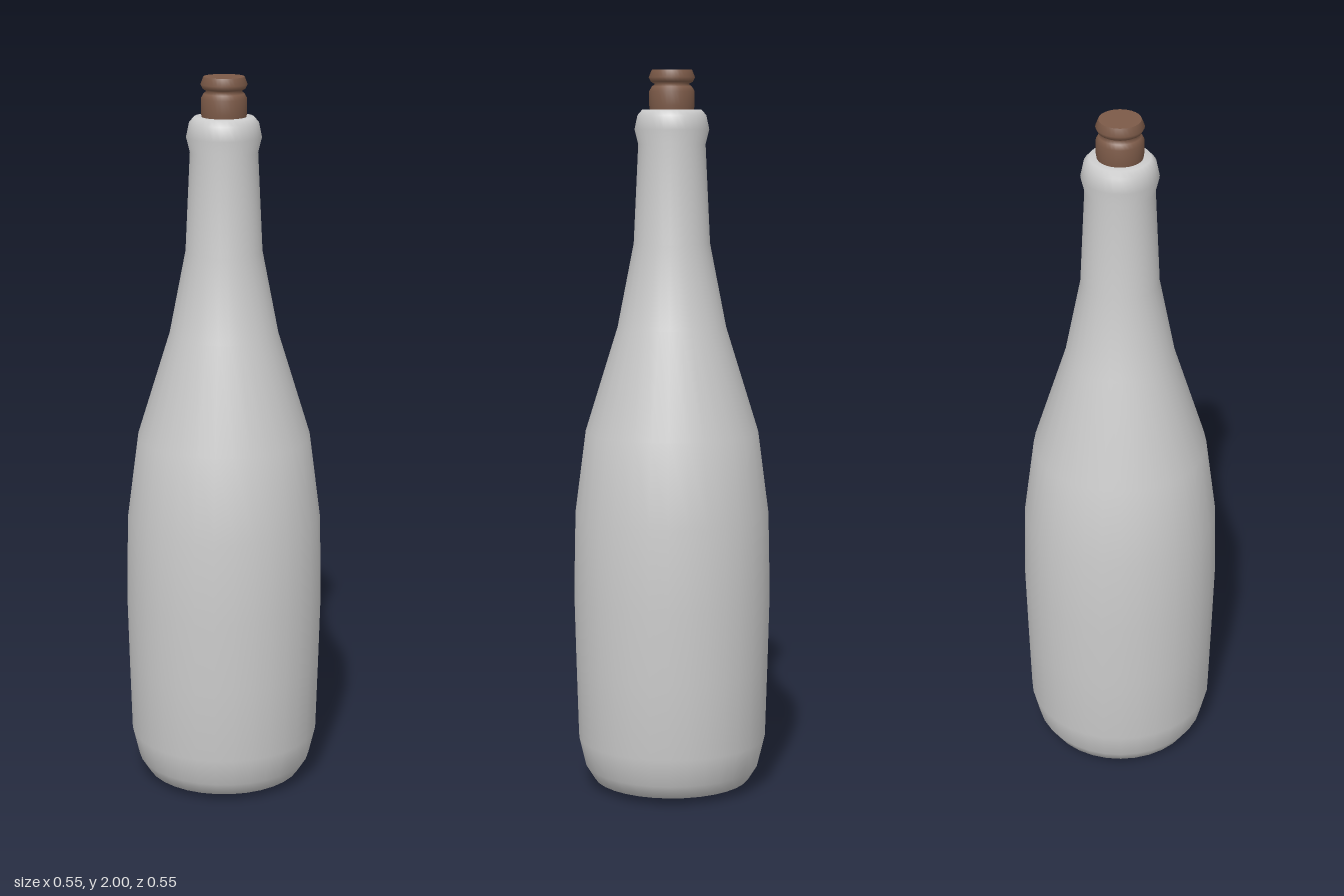
import * as THREE from 'three';

const SIDES = 32;

// Smooth solid of revolution from [radius, height] pairs, bottom to top
function turned(name, profile, material) {
  const points = profile.map(([r, y]) => new THREE.Vector2(r, y));
  const mesh = new THREE.Mesh(new THREE.LatheGeometry(points, SIDES), material);
  mesh.name = name;
  return mesh;
}

export function createModel() {
  const glass = new THREE.MeshStandardMaterial({ color: 0xcccccc });
  const cork = new THREE.MeshStandardMaterial({ color: 0x7c5a48 });
  const model = new THREE.Group();
  model.name = 'corkedBottle';

  // Bottle: base, rounded heel, body, shoulder, neck and lip
  model.add(turned('bottle', [
    [0, 0.005], [0.15, 0], [0.22, 0.02], [0.245, 0.06], [0.264, 0.14],
    [0.27, 0.35], [0.275, 0.55], [0.27, 0.78], [0.24, 1.01],
    [0.15, 1.3], [0.105, 1.53], [0.092, 1.8], [0.102, 1.84],
    [0.094, 1.878], [0.08, 1.894], [0.05, 1.894],
  ], glass));

  // Stopper: bulged stem, narrow waist and flared head
  model.add(turned('stopper', [
    [0.058, 1.88], [0.062, 1.905], [0.062, 1.942], [0.055, 1.955],
    [0.046, 1.962], [0.057, 1.968], [0.063, 1.98], [0.055, 2],
  ], cork));

  // Flat end of the stopper
  const top = new THREE.Mesh(new THREE.CircleGeometry(0.055, SIDES), cork);
  top.name = 'stopperTop';
  top.rotation.x = -Math.PI / 2;
  top.position.y = 2;
  model.add(top);

  return model;
}
